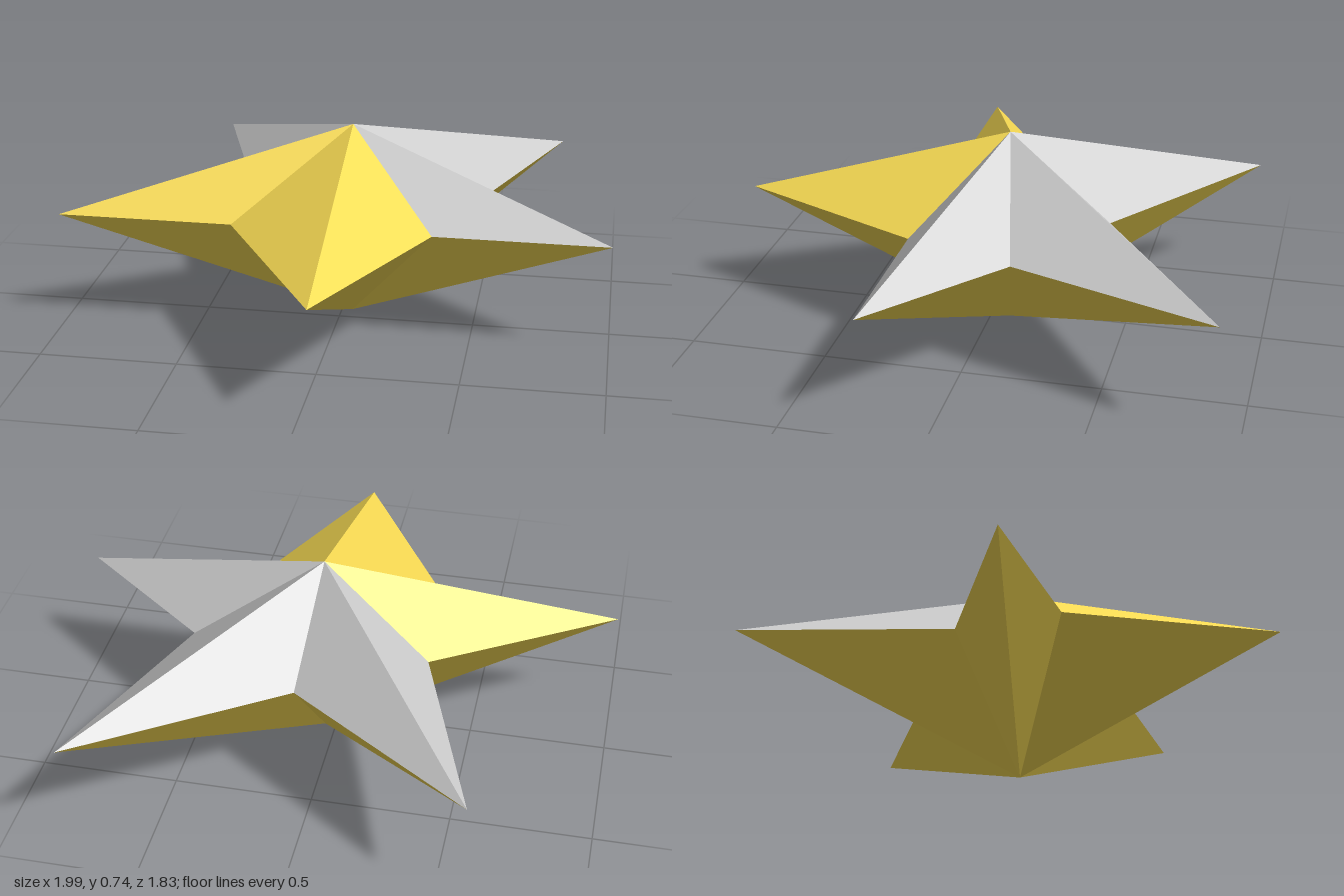
import * as THREE from 'three';

// Star outline (x, z), counter-clockwise from above, tips and valleys alternating
const outline = [
  [0.045, 0.91], [0.365, 0.222], [0.995, 0.222], [0.5, -0.175], [0.775, -0.915],
  [0.07, -0.443], [-0.603, -0.915], [-0.357, -0.175], [-0.995, 0.222], [-0.357, 0.222],
];
const RIM_Y = 0.43;
const CENTRE = [0.04, -0.07];
const TOP_Y = 0.735;

// Flat-shaded fan of facets from an apex to the chosen outline edges
function facetFan(name, apexY, edges, color) {
  const up = apexY > RIM_Y;
  const rim = (i) => {
    const [x, z] = outline[i % outline.length];
    return [x, RIM_Y, z];
  };
  const positions = [];
  for (const i of edges) {
    const [a, b] = up ? [rim(i), rim(i + 1)] : [rim(i + 1), rim(i)];
    positions.push(CENTRE[0], apexY, CENTRE[1], ...a, ...b);
  }
  const geometry = new THREE.BufferGeometry();
  geometry.setAttribute('position', new THREE.Float32BufferAttribute(positions, 3));
  geometry.computeVertexNormals();
  const material = new THREE.MeshStandardMaterial({ color, flatShading: true });
  const mesh = new THREE.Mesh(geometry, material);
  mesh.name = name;
  return mesh;
}

export function createModel() {
  const GOLD = 0xf9dc54;
  const GREY = 0xcccccc;
  const star = new THREE.Group();
  star.name = 'star';
  star.add(
    // Upper facets: gold on the front and right arms, grey on the other three
    facetFan('upperGoldFacets', TOP_Y, [7, 8, 9, 0], GOLD),
    facetFan('upperGreyFacets', TOP_Y, [1, 2, 3, 4, 5, 6], GREY),
    // Lower facets: all gold
    facetFan('lowerFacets', 0, outline.map((_, i) => i), GOLD),
  );
  return star;
}
